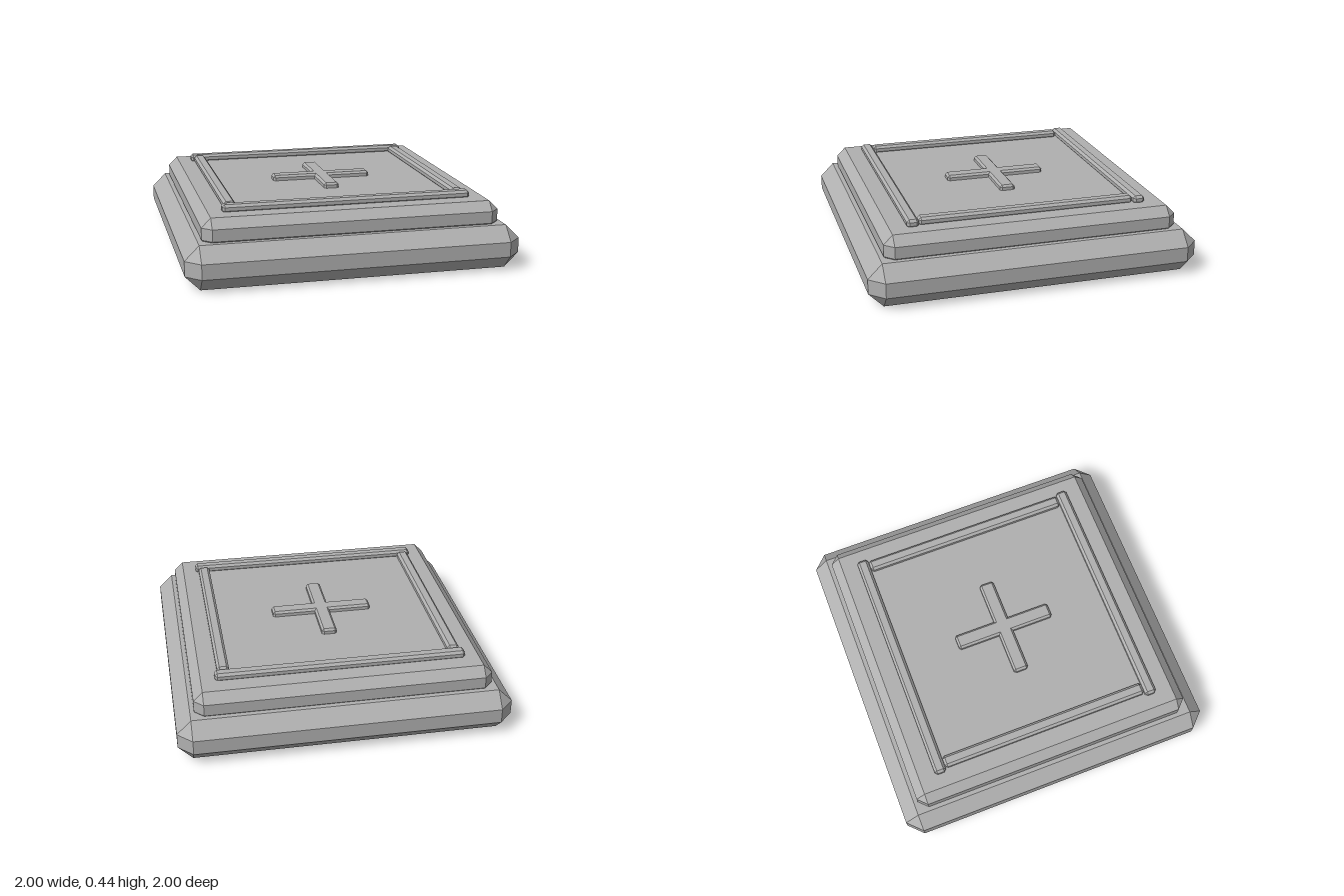
import * as THREE from 'three';
import { ConvexGeometry } from 'three/addons/geometries/ConvexGeometry.js';

const stone = new THREE.MeshStandardMaterial({ color: 0xb0b0b0 });
stone.name = 'stone grey';

// Box with every edge and corner cut by one flat chamfer c
function chamferedBox(w, h, d, c) {
  const points = [];
  for (const sx of [-1, 1]) for (const sy of [-1, 1]) for (const sz of [-1, 1]) {
    for (let axis = 0; axis < 3; axis++) {
      const p = [w / 2 - c, h / 2 - c, d / 2 - c];
      p[axis] += c;
      points.push(new THREE.Vector3(sx * p[0], sy * p[1], sz * p[2]));
    }
  }
  return new ConvexGeometry(points);
}

export function createModel() {
  const group = new THREE.Group();
  group.name = 'pressurePlate';

  const add = (name, w, d, y0, y1, c, x = 0, z = 0) => {
    const mesh = new THREE.Mesh(chamferedBox(w, y1 - y0, d, c), stone);
    mesh.name = name;
    mesh.position.set(x, (y0 + y1) / 2, z);
    group.add(mesh);
  };

  // Two stepped slabs, the upper one sunk a little into the lower
  add('baseSlab', 2, 2, 0, 0.262, 0.086);
  add('upperSlab', 1.78, 1.78, 0.214, 0.395, 0.055);

  // Raised border on the top face
  for (const s of [-1, 1]) {
    add(s > 0 ? 'frontBorder' : 'backBorder', 1.504, 0.072, 0.385, 0.436, 0.015, 0, s * 0.697);
    add(s > 0 ? 'leftBorder' : 'rightBorder', 0.072, 1.32, 0.385, 0.436, 0.015, s * 0.697, 0);
  }

  // Raised cross in the middle
  add('crossBarAcross', 0.63, 0.094, 0.38, 0.428, 0.013);
  add('crossBarAlong', 0.094, 0.63, 0.38, 0.428, 0.013);

  return group;
}
